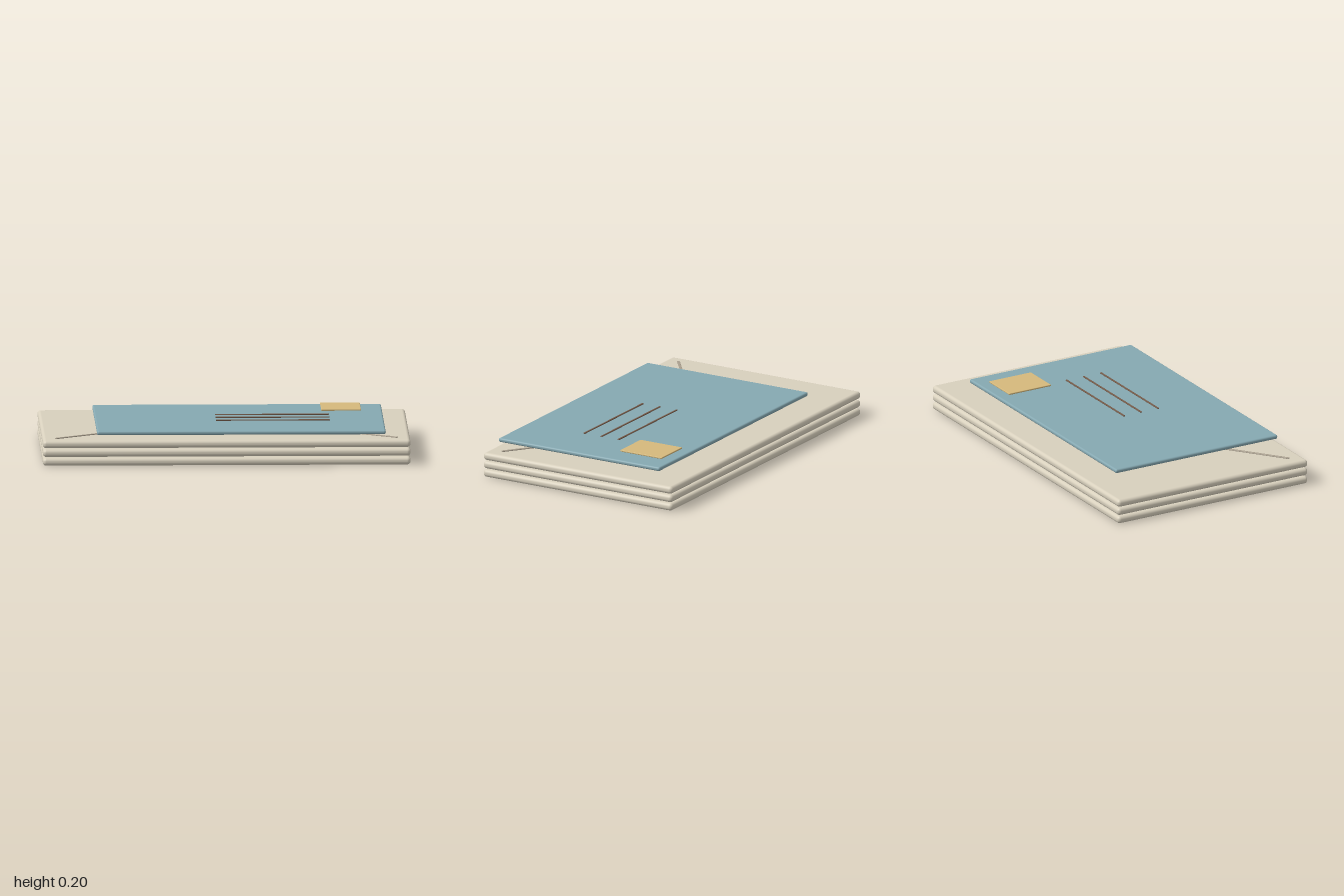
import * as THREE from 'three';
import { RoundedBoxGeometry } from 'three/addons/geometries/RoundedBoxGeometry.js';

const material = (name, color) => {
  const m = new THREE.MeshStandardMaterial({ color });
  m.name = name;
  return m;
};

export function createModel() {
  const paper = material('cream paper', 0xd8d0bd);
  const crease = material('flap crease', 0xa89e8d);
  const blue = material('blue card', 0x85a8b1);
  const ochre = material('ochre stamp', 0xd5b97c);
  const ink = material('brown ink', 0x755a48);

  const model = new THREE.Group();
  model.name = 'letterStack';

  // Rounded slab given by its centre in x and z, its underside and its size
  const slab = (name, parent, mat, [w, h, d], radius, x, bottom, z) => {
    const mesh = new THREE.Mesh(new RoundedBoxGeometry(w, h, d, 4, radius), mat);
    mesh.name = name;
    mesh.position.set(x, bottom + h / 2, z);
    parent.add(mesh);
    return mesh;
  };

  // Three stacked envelopes, each with a V-shaped flap crease on top
  for (let i = 0; i < 3; i++) {
    const envelope = new THREE.Group();
    envelope.name = `envelope${i + 1}`;
    envelope.position.y = 0.002 + i * 0.048;
    model.add(envelope);
    slab('envelopeBody', envelope, paper, [2, 0.042, 1.2], 0.019, 0, 0, 0);

    const dx = 0.93, dz = 0.71;
    for (const side of [-1, 1]) {
      const line = slab(side < 0 ? 'rightFlapCrease' : 'leftFlapCrease', envelope, crease,
        [Math.hypot(dx, dz), 0.008, 0.015], 0.003, side * dx / 2, 0.0395, 0.52 - dz / 2);
      line.rotation.y = -side * Math.atan2(dz, dx);
    }
  }

  // Postcard hovering just over the stack
  slab('postcard', model, blue, [1.57, 0.023, 1.022], 0.01, 0.08, 0.167, 0.07);

  // Stamp and address lines
  slab('stamp', model, ochre, [0.216, 0.009, 0.264], 0.003, 0.64, 0.197, -0.253);
  [-0.002, 0.106, 0.214].forEach((z, i) =>
    slab(`addressLine${i + 1}`, model, ink, [0.62, 0.006, 0.01], 0.002, 0.26, 0.193, z));

  return model;
}
